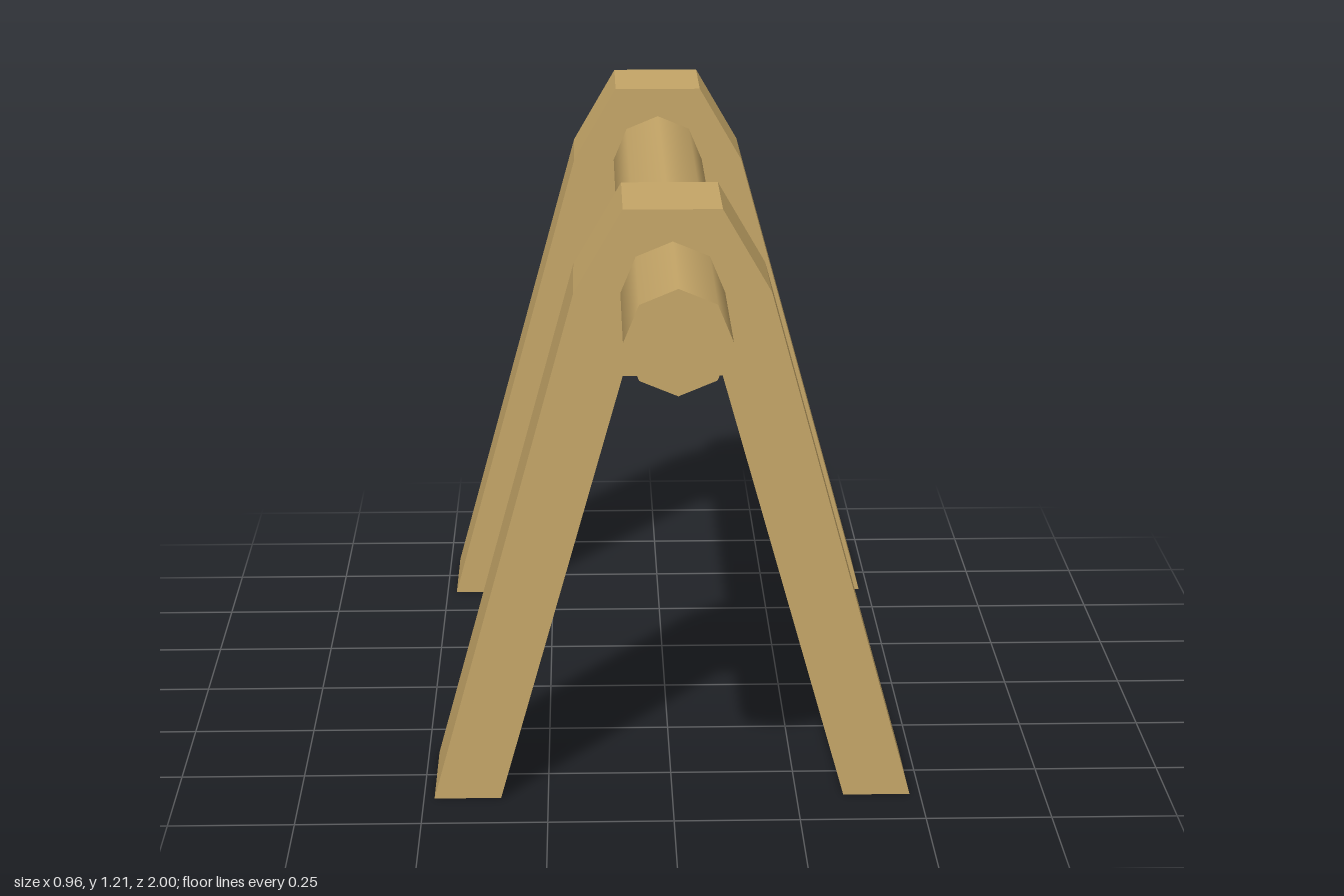
import * as THREE from 'three';

export function createModel() {
  const model = new THREE.Group();
  const wood = new THREE.MeshStandardMaterial({ color: 0xc4a567 });
  wood.name = 'wood';

  // A-shaped trestle outline: right half from the top down, then mirrored
  const half = [[0.096, 1.21], [0.192, 1.045], [0.479, 0], [0.345, 0], [0.097, 0.88]];
  const mirrored = half.map(([x, y]) => [-x, y]).reverse();
  const outline = new THREE.Shape([...half, ...mirrored].map(([x, y]) => new THREE.Vector2(x, y)));
  const trestleGeometry = new THREE.ExtrudeGeometry(outline, { depth: 0.247, bevelEnabled: false });

  // Two trestles, unevenly placed along the bar
  for (const [name, z] of [['frontTrestle', 0.378], ['backTrestle', -0.875]]) {
    const trestle = new THREE.Mesh(trestleGeometry, wood);
    trestle.name = name;
    trestle.position.z = z;
    model.add(trestle);
  }

  // Eight-sided crossbar running front to back
  const crossbar = new THREE.Mesh(new THREE.CylinderGeometry(0.101, 0.101, 2, 8), wood);
  crossbar.name = 'crossbar';
  crossbar.rotation.x = Math.PI / 2;
  crossbar.position.y = 1.046;
  model.add(crossbar);

  return model;
}
